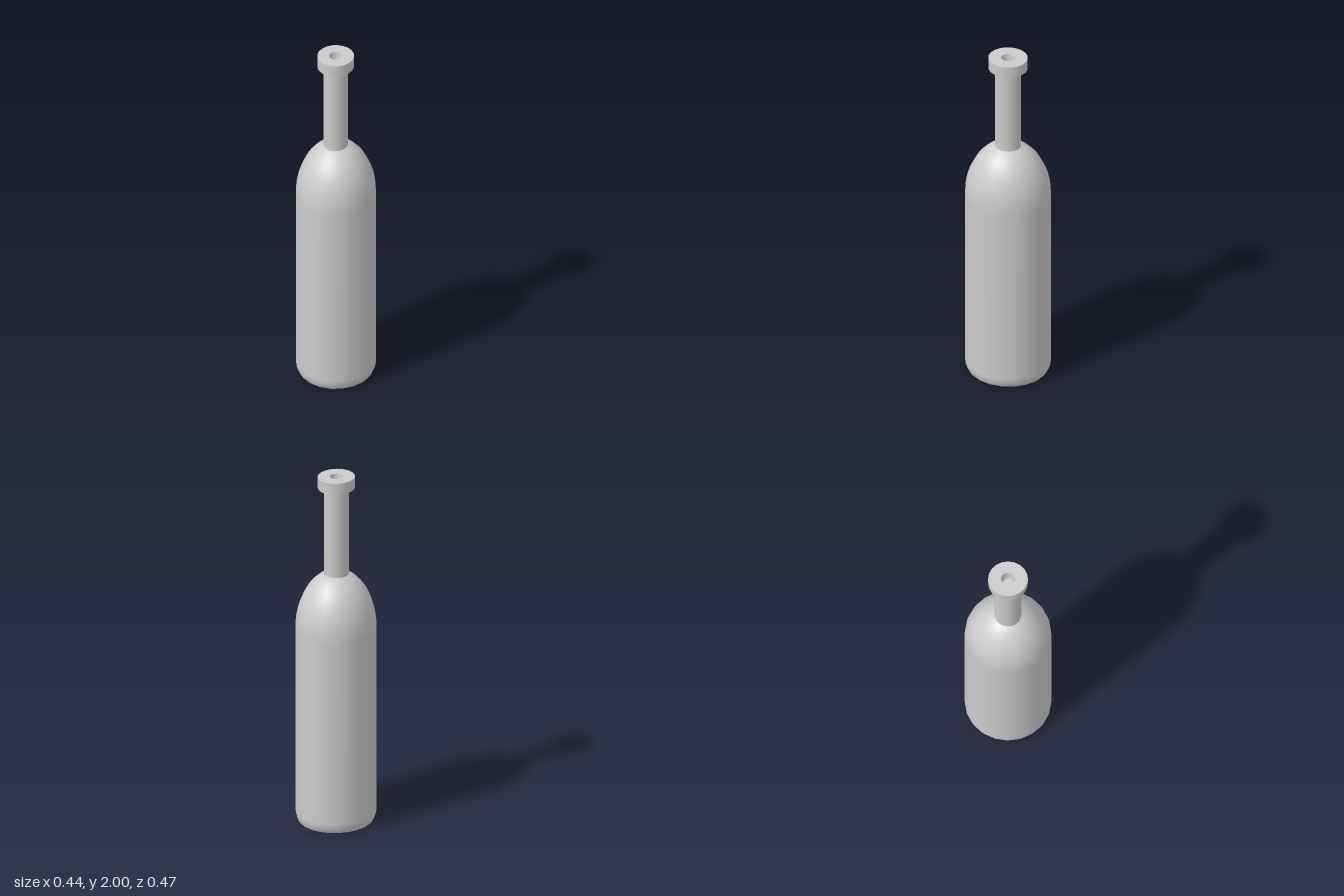
import * as THREE from 'three';

const SIDES = 20;
const DEPTH_RATIO = 1.075; // slightly oval cross-section

export function createModel() {
  const bottle = new THREE.Group();
  bottle.name = 'bottle';
  const material = new THREE.MeshStandardMaterial({ color: 0xcccccc });

  // Each profile is turned on its own so edges between sections stay sharp
  function turned(name, profile, offset = 0) {
    const points = profile.map(([r, y]) => new THREE.Vector2(r, y));
    const geometry = new THREE.LatheGeometry(points, SIDES);
    geometry.scale(1, 1, DEPTH_RATIO);
    const mesh = new THREE.Mesh(geometry, material);
    mesh.name = name;
    mesh.position.x = offset;
    bottle.add(mesh);
  }

  // Flat base, rounded lower edge and straight wall
  turned('base', [[0, 0], [0.2, 0]]);
  turned('body', [[0.2, 0], [0.208, 0.012], [0.215, 0.035], [0.218, 0.06], [0.218, 1.12]]);

  // Elliptical shoulder dome, closing in to the neck
  const dome = [];
  const end = Math.acos(0.065 / 0.218);
  for (let i = 0; i <= 14; i++) {
    const a = (end * i) / 14;
    dome.push([0.218 * Math.cos(a), 1.12 + 0.33 * Math.sin(a)]);
  }
  turned('shoulder', dome);

  // Neck
  const shift = -0.002;
  turned('neck', [[0.067, 1.42], [0.067, 1.935]], shift);

  // Lip ring around the mouth
  turned('lipUnderside', [[0.06, 1.935], [0.1, 1.935]], shift);
  turned('lipSide', [[0.1, 1.935], [0.1, 2]], shift);
  turned('lipTop', [[0.1, 2], [0.035, 2]], shift);

  // Tapered mouth recess with its floor
  turned('mouthWall', [[0.035, 2], [0.027, 1.93]], shift);
  turned('mouthFloor', [[0.027, 1.93], [0, 1.93]], shift);

  return bottle;
}
